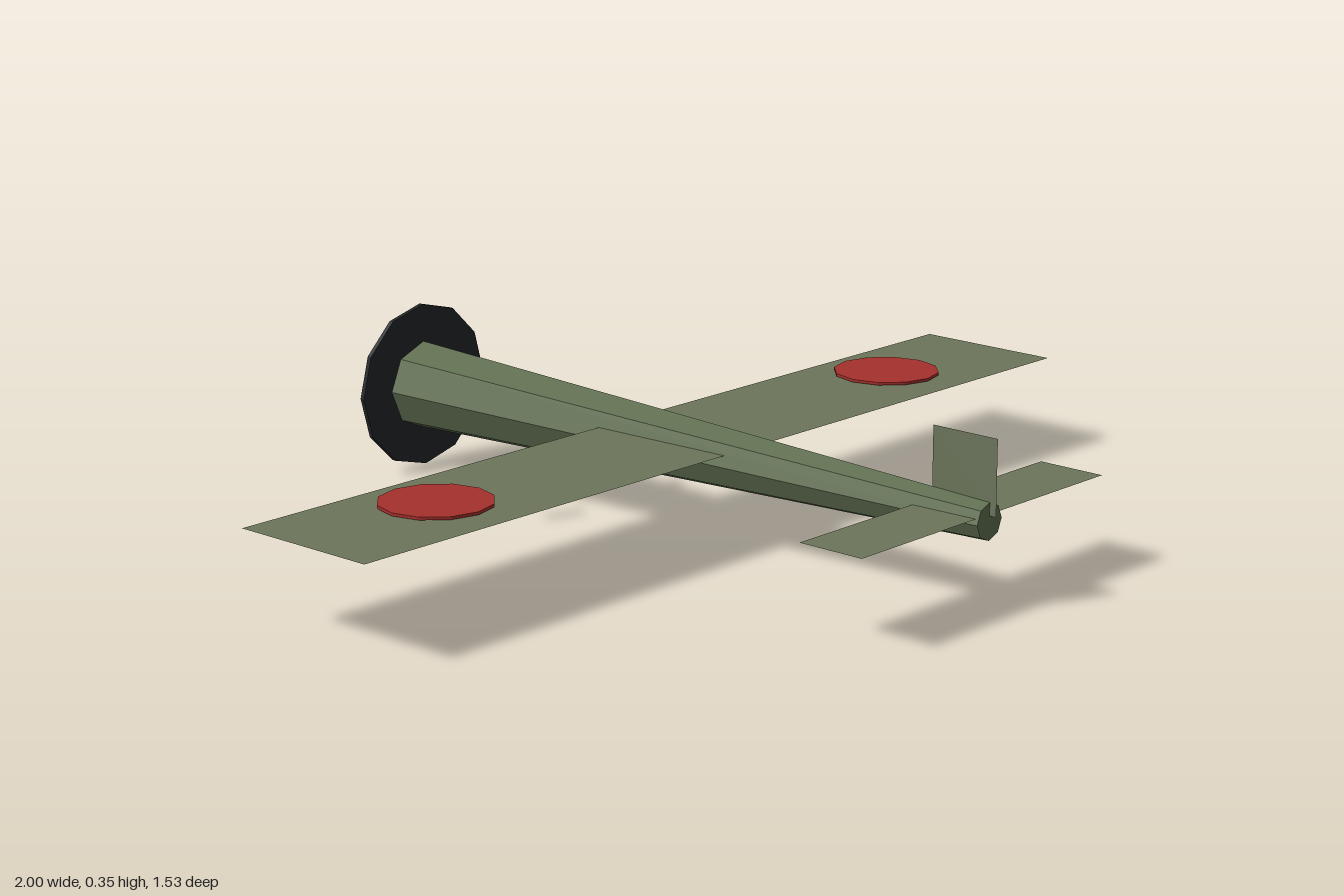
import * as THREE from 'three';

const paint = (color) => new THREE.MeshStandardMaterial({ color, flatShading: true, side: THREE.DoubleSide });

export function createModel() {
  const model = new THREE.Group();
  const green = paint(0x5f6d50);
  const paleGreen = paint(0x6d755b);
  const red = paint(0xa5302d);
  const black = paint(0x232528);

  const add = (name, geometry, material, x, y, z) => {
    const mesh = new THREE.Mesh(geometry, material);
    mesh.name = name;
    mesh.position.set(x, y, z);
    model.add(mesh);
    return mesh;
  };

  // Eight-sided fuselage, wide at the nose (-z) and narrow at the tail (+z)
  add('fuselage', new THREE.CylinderGeometry(0.037, 0.094, 1.505, 8), green, 0, 0.179, -0.0025)
    .rotation.x = Math.PI / 2;

  // Propeller disc on the nose
  add('propellerDisc', new THREE.CylinderGeometry(0.174, 0.174, 0.01, 12), black, 0, 0.179, -0.759)
    .rotation.x = Math.PI / 2;

  // Paper-thin flying surfaces
  const flat = (width, depth) => new THREE.PlaneGeometry(width, depth).rotateX(-Math.PI / 2);
  add('wing', flat(2, 0.325), paleGreen, 0, 0.201, -0.021);
  add('tailplane', flat(0.724, 0.145), paleGreen, 0, 0.19, 0.671);
  add('tailFin', new THREE.PlaneGeometry(0.15, 0.15).rotateY(Math.PI / 2), paleGreen, 0, 0.265, 0.69);

  // Wing discs and wheel struts on both sides
  for (const [side, s] of [['left', 1], ['right', -1]]) {
    add(side + 'WingDisc', new THREE.CylinderGeometry(0.112, 0.112, 0.006, 12), red, s * 0.66, 0.207, -0.031);
    add(side + 'Strut', new THREE.CylinderGeometry(0.014, 0.014, 0.073, 8), black, s * 0.15, 0.104, -0.3);
  }

  return model;
}
